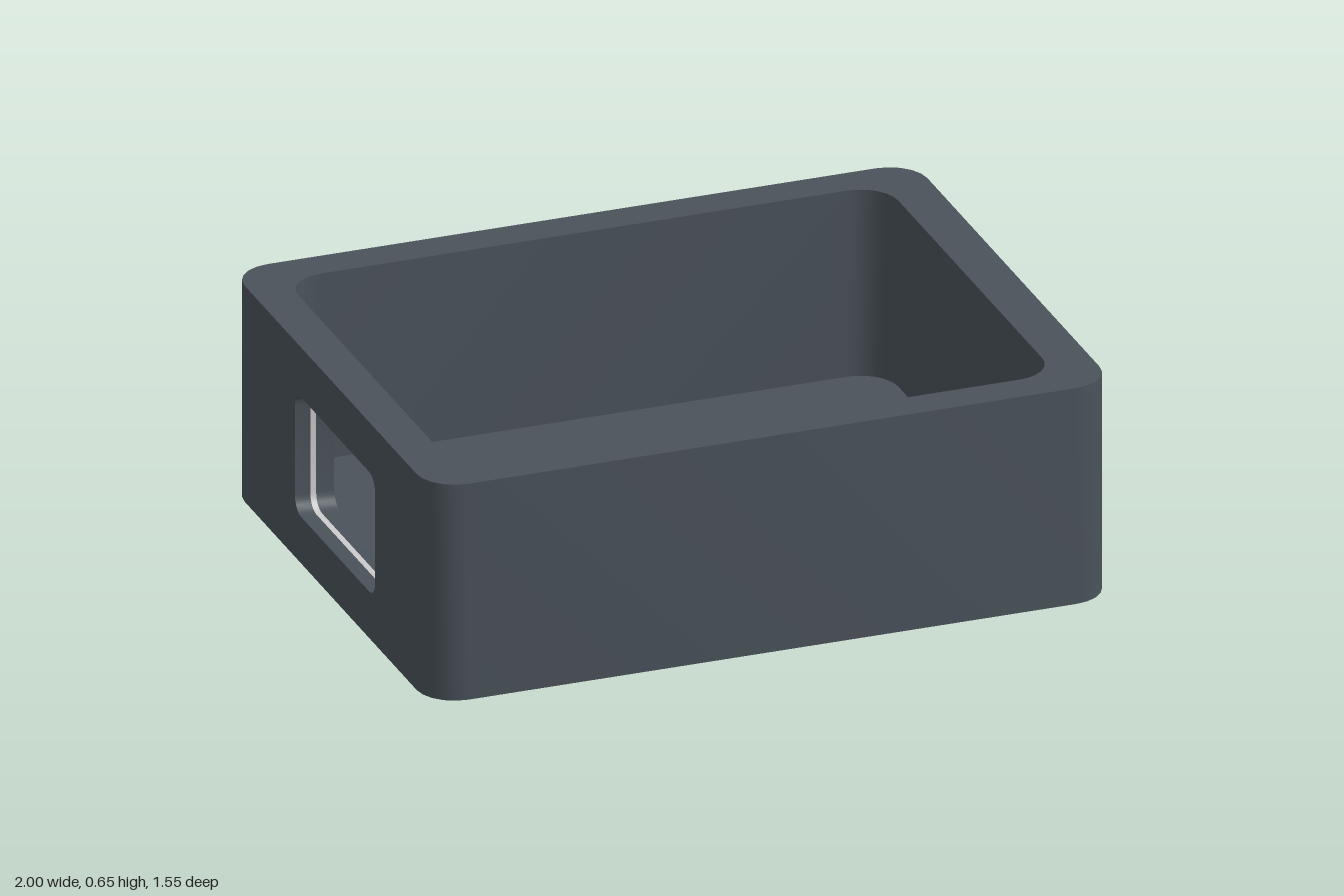
import * as THREE from 'three';
import { toCreasedNormals } from 'three/addons/utils/BufferGeometryUtils.js';

const H = 0.65, FLOOR = 0.09;   // box height, floor thickness
const OUT = -1, INN = -0.885;   // outer and inner face of the wall with the window

// Rounded rectangle; the last point to the first runs along the low-u side
function roundedRect(u0, u1, v0, v1, r, n) {
  const pts = [];
  const centres = [[u0 + r, v0 + r], [u1 - r, v0 + r], [u1 - r, v1 - r], [u0 + r, v1 - r]];
  centres.forEach(([u, v], k) => {
    for (let i = 0; i <= n; i++) {
      const a = Math.PI + (k + i / n) * Math.PI / 2;
      pts.push(new THREE.Vector2(u + r * Math.cos(a), v + r * Math.sin(a)));
    }
  });
  return pts;
}

// Collects triangles, turning each to face the hinted direction
class Surface {
  constructor() { this.pos = []; }

  tri(a, b, c, facing) {
    const n = b.clone().sub(a).cross(c.clone().sub(a));
    const order = n.dot(facing) < 0 ? [a, c, b] : [a, b, c];
    for (const p of order) this.pos.push(p.x, p.y, p.z);
  }

  // Flat face with optional holes
  cap(outline, holes, place, facing) {
    const contour = outline.slice(), rims = holes.map((h) => h.slice().reverse());
    const pts = [contour, ...rims].flat().map(place);
    for (const [a, b, c] of THREE.ShapeUtils.triangulateShape(contour, rims)) {
      this.tri(pts[a], pts[b], pts[c], facing);
    }
  }

  // Strip between two placements of a loop, facing out (1) or in (-1)
  band(loop, placeA, placeB, sign, closed) {
    const mid = loop.reduce((s, p) => s.add(p), new THREE.Vector2()).divideScalar(loop.length);
    const centre = placeA(mid);
    const count = closed ? loop.length : loop.length - 1;
    for (let i = 0; i < count; i++) {
      const p = loop[i], q = loop[(i + 1) % loop.length];
      const a = placeA(p), b = placeA(q), c = placeB(q), d = placeB(p);
      const facing = a.clone().add(b).multiplyScalar(0.5).sub(centre).multiplyScalar(sign);
      this.tri(a, b, c, facing);
      this.tri(a, c, d, facing);
    }
  }

  mesh(name, color) {
    const g = new THREE.BufferGeometry();
    g.setAttribute('position', new THREE.Float32BufferAttribute(this.pos, 3));
    const m = new THREE.Mesh(toCreasedNormals(g, 0.6),
      new THREE.MeshStandardMaterial({ color, side: THREE.DoubleSide }));
    m.name = name;
    return m;
  }
}

const atY = (y) => (p) => new THREE.Vector3(p.x, y, p.y);   // plan (x, z)
const atX = (x) => (p) => new THREE.Vector3(x, p.y, p.x);   // side (z, y)

export function createModel() {
  const group = new THREE.Group();
  const up = new THREE.Vector3(0, 1, 0), down = new THREE.Vector3(0, -1, 0);
  const left = new THREE.Vector3(1, 0, 0), right = new THREE.Vector3(-1, 0, 0);

  const outer = roundedRect(-1, 1, -0.775, 0.775, 0.11, 5);
  const inner = roundedRect(INN, 0.873, -0.665, 0.668, 0.11, 6);
  const window = roundedRect(-0.275, 0.345, 0.14, 0.5, 0.045, 5);

  const box = new Surface();
  // Bottom, floor and top rim
  box.cap(outer, [], atY(0), down);
  box.cap(inner, [], atY(FLOOR), up);
  box.cap(outer, [inner], atY(H), up);
  // Walls, apart from the flat stretch with the window
  box.band(outer, atY(0), atY(H), 1, false);
  box.band(inner, atY(FLOOR), atY(H), -1, false);
  // Both faces of the window wall
  const wallFace = (loop, y0) => {
    const z0 = loop[0].y, z1 = loop[loop.length - 1].y;
    return [[z0, y0], [z1, y0], [z1, H], [z0, H]].map(([z, y]) => new THREE.Vector2(z, y));
  };
  box.cap(wallFace(outer, 0), [window], atX(OUT), right);
  box.cap(wallFace(inner, FLOOR), [window], atX(INN), left);
  // Window reveal, either side of the thin lining
  const lineA = -0.955, lineB = -0.938;
  box.band(window, atX(OUT), atX(lineA), -1, true);
  box.band(window, atX(lineB), atX(INN), -1, true);
  group.add(box.mesh('openBox', 0x4a525a));

  // Pale lining set into the reveal
  const lining = new Surface();
  lining.band(window, atX(lineA), atX(lineB), -1, true);
  group.add(lining.mesh('windowLining', 0xcccccc));

  return group;
}
